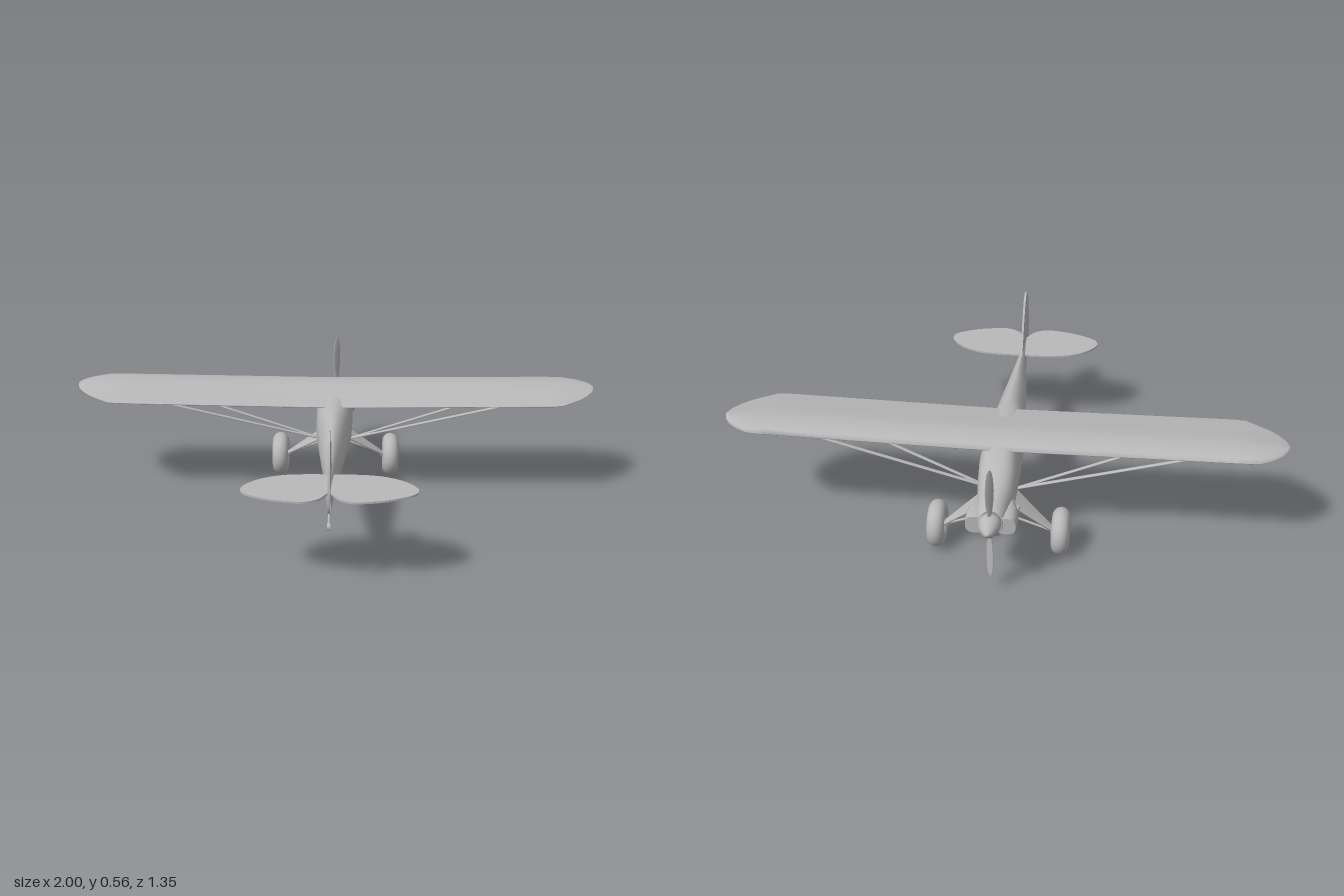
import * as THREE from 'three';

const paint = new THREE.MeshStandardMaterial({ color: 0xb8b8b8 });
paint.name = 'plain grey';

function add(parent, name, geometry) {
  const mesh = new THREE.Mesh(geometry, paint);
  mesh.name = name;
  parent.add(mesh);
  return mesh;
}

// Skin a closed body over equal-length rings of [x, y, z] points; faces always point outward.
function loft(rings) {
  const n = rings[0].length, pos = rings.flat(2), index = [];
  for (let i = 0; i < rings.length - 1; i++) {
    for (let j = 0; j < n; j++) {
      const a = i * n + j, b = i * n + (j + 1) % n;
      index.push(a, b, a + n, b, b + n, a + n);
    }
  }
  [rings[0], rings[rings.length - 1]].forEach((ring, end) => {
    const s = pos.length / 3;
    pos.push(...ring.flat());
    for (let j = 1; j < n - 1; j++) index.push(s, s + (end ? j : j + 1), s + (end ? j + 1 : j));
  });
  const p = (i) => new THREE.Vector3().fromArray(pos, i * 3);
  let volume = 0;
  for (let k = 0; k < index.length; k += 3) {
    volume += p(index[k]).dot(p(index[k + 1]).cross(p(index[k + 2])));
  }
  if (volume < 0) index.reverse();
  const g = new THREE.BufferGeometry();
  g.setAttribute('position', new THREE.Float32BufferAttribute(pos, 3));
  g.setIndex(index);
  g.computeVertexNormals();
  return g;
}

// Rounded-box ring across z: centre x, half width, bottom, top, roundness above and below.
function ring(z, cx, w, y0, y1, nTop = 2.6, nLow = 2.6, count = 28) {
  return Array.from({ length: count }, (_, i) => {
    const a = (i / count) * Math.PI * 2, c = Math.cos(a), s = Math.sin(a);
    const e = 2 / (s > 0 ? nTop : nLow);
    return [cx + w * Math.sign(c) * Math.abs(c) ** e,
      (y0 + y1) / 2 + ((y1 - y0) / 2) * Math.sign(s) * Math.abs(s) ** e, z];
  });
}

// Straight streamlined bar between two points, flattened vertically.
function strut(parent, name, a, b, rz, ry = rz) {
  const circle = (p) => Array.from({ length: 10 }, (_, i) => {
    const t = (i / 10) * Math.PI * 2;
    return [p[0], p[1] + Math.sin(t) * ry, p[2] + Math.cos(t) * rz];
  });
  return add(parent, name, loft([circle(a), circle(b)]));
}

// Thin plate with a smooth outline.
function plate(points, depth) {
  const shape = new THREE.Shape();
  shape.moveTo(...points[0]);
  shape.splineThru(points.slice(1).map((q) => new THREE.Vector2(...q)));
  return new THREE.ExtrudeGeometry(shape, { depth, bevelEnabled: false, curveSegments: 40 });
}

export function createModel() {
  const plane = new THREE.Group();
  plane.name = 'lightAircraft';

  // Fuselage: z, half width, bottom, top, roundness above
  add(plane, 'fuselage', loft([
    [0.63, 0.006, 0.29, 0.345, 2], [0.4, 0.021, 0.265, 0.368, 1.7],
    [0.2, 0.042, 0.241, 0.386, 1.7], [0, 0.06, 0.217, 0.403, 1.9],
    [-0.06, 0.067, 0.21, 0.41, 2.3], [-0.25, 0.07, 0.187, 0.422, 3],
    [-0.35, 0.07, 0.187, 0.42, 3], [-0.4, 0.068, 0.188, 0.384, 2.6],
    [-0.45, 0.064, 0.19, 0.345, 2.4], [-0.54, 0.056, 0.2, 0.336, 2.3],
    [-0.585, 0.05, 0.225, 0.326, 2.2], [-0.6, 0.042, 0.24, 0.317, 2],
  ].map(([z, w, y0, y1, n]) => ring(z, 0, w, y0, y1, n, 2.8))));

  // Engine cowling
  for (const s of [1, -1]) {
    add(plane, 'engineCheek', loft([
      [-0.43, 0.045, 0.02, 0.22, 0.28], [-0.47, 0.046, 0.028, 0.215, 0.292],
      [-0.52, 0.05, 0.038, 0.215, 0.3], [-0.57, 0.05, 0.039, 0.225, 0.302],
      [-0.597, 0.052, 0.034, 0.235, 0.3],
    ].map(([z, x, w, y0, y1]) => ring(z, s * x, w, y0, y1))));
  }
  add(plane, 'chinScoop', loft([
    [-0.452, 0.034, 0.17, 0.24], [-0.51, 0.037, 0.173, 0.245],
    [-0.55, 0.034, 0.188, 0.25], [-0.578, 0.028, 0.212, 0.255], [-0.59, 0.02, 0.23, 0.26],
  ].map(([z, w, y0, y1]) => ring(z, 0, w, y0, y1))));
  add(plane, 'exhaustPipe', new THREE.TubeGeometry(new THREE.CatmullRomCurve3([
    new THREE.Vector3(-0.04, 0.235, -0.47), new THREE.Vector3(-0.068, 0.23, -0.455),
    new THREE.Vector3(-0.078, 0.228, -0.425),
  ]), 10, 0.007, 10));

  // Wing: x, leading z, trailing z, base y, thickness
  const airfoil = [[1, 0.1], [0.8, 0.32], [0.6, 0.68], [0.42, 0.94], [0.28, 1], [0.14, 0.88],
    [0.05, 0.64], [0, 0.36], [0.03, 0.14], [0.12, 0.02], [0.4, 0], [0.75, 0.02], [1, 0]];
  const half = [[0, -0.358, -0.062, 0.398, 0.038], [0.4, -0.358, -0.062, 0.403, 0.037],
    [0.82, -0.358, -0.062, 0.409, 0.035], [0.86, -0.358, -0.068, 0.41, 0.033],
    [0.9, -0.353, -0.098, 0.412, 0.029], [0.94, -0.333, -0.13, 0.415, 0.023],
    [0.97, -0.309, -0.165, 0.418, 0.017], [0.99, -0.282, -0.197, 0.421, 0.011],
    [1, -0.255, -0.23, 0.424, 0.005]];
  const span = [...half.slice(1).reverse().map(([x, ...r]) => [-x, ...r]), ...half];
  add(plane, 'wing', loft(span.map(([x, z0, z1, y, t]) =>
    airfoil.map(([u, v]) => [x, y + v * t, z0 + u * (z1 - z0)]))));

  // Tail fin with rudder
  const fin = plate([[0.38, 0.35], [0.397, 0.367], [0.418, 0.379], [0.447, 0.422], [0.487, 0.487],
    [0.531, 0.542], [0.567, 0.56], [0.596, 0.556], [0.629, 0.531], [0.658, 0.469],
    [0.675, 0.39], [0.674, 0.335], [0.655, 0.305], [0.6, 0.29]], 0.008);
  fin.rotateY(-Math.PI / 2).translate(0.004, 0, 0);
  add(plane, 'tailFin', fin);

  // Tailplane
  for (const s of [1, -1]) {
    const g = plate([[0, 0.442], [0.08, 0.442], [0.165, 0.452], [0.235, 0.482], [0.28, 0.525],
      [0.297, 0.567], [0.275, 0.605], [0.2, 0.642], [0.135, 0.658], [0.08, 0.662],
      [0.035, 0.64], [0.012, 0.605], [0, 0.58]].map(([x, z]) => [s * x, z]), 0.007);
    g.rotateX(Math.PI / 2).translate(0, 0.35, 0);
    add(plane, 'tailplane', g);
  }

  // Tail wheel
  add(plane, 'tailWheelSpring', new THREE.TubeGeometry(new THREE.CatmullRomCurve3([
    new THREE.Vector3(0, 0.295, 0.58), new THREE.Vector3(0, 0.284, 0.625),
    new THREE.Vector3(0, 0.256, 0.65),
  ]), 10, 0.004, 8));
  add(plane, 'tailWheel', new THREE.CylinderGeometry(0.013, 0.013, 0.012, 20)
    .rotateZ(Math.PI / 2).translate(0, 0.255, 0.65));

  // Propeller and spinner
  const prop = new THREE.Group();
  prop.name = 'propeller';
  prop.position.set(0, 0.283, -0.612);
  plane.add(prop);
  const blade = [[0.01, 0.016, 0.014, 1.1], [0.04, 0.02, 0.011, 1], [0.08, 0.036, 0.008, 0.9],
    [0.13, 0.039, 0.006, 0.8], [0.18, 0.031, 0.005, 0.7], [0.207, 0.02, 0.004, 0.65],
    [0.219, 0.006, 0.002, 0.65]].map(([y, chord, thick, pitch]) =>
    Array.from({ length: 14 }, (_, i) => {
      const a = (i / 14) * Math.PI * 2, u = Math.cos(a) * chord / 2, v = Math.sin(a) * thick / 2;
      return [u * Math.cos(pitch) + v * Math.sin(pitch), y,
        -u * Math.sin(pitch) + v * Math.cos(pitch)];
    }));
  for (const turn of [0, Math.PI]) add(prop, 'propellerBlade', loft(blade)).rotation.z = turn;
  const nose = [[0, -0.022], [0.04, -0.022], [0.039, 0], [0.034, 0.022], [0.024, 0.044],
    [0.012, 0.058], [0, 0.064]].map((q) => new THREE.Vector2(...q));
  add(prop, 'spinner', new THREE.LatheGeometry(nose, 32).rotateX(-Math.PI / 2));

  for (const s of [1, -1]) {
    // Wing struts
    const foot = [s * 0.055, 0.193, -0.263];
    strut(plane, 'frontWingStrut', foot, [s * 0.75, 0.412, -0.3], 0.008, 0.004);
    strut(plane, 'rearWingStrut', foot, [s * 0.75, 0.412, -0.13], 0.008, 0.004);
    strut(plane, 'frontJuryStrut', [s * 0.45, 0.317, -0.284], [s * 0.45, 0.407, -0.29], 0.003);
    strut(plane, 'rearJuryStrut', [s * 0.45, 0.317, -0.187], [s * 0.45, 0.407, -0.18], 0.003);

    // Landing gear: covered leg, shock strut and axle
    add(plane, 'gearLeg', loft([
      [[s * 0.045, 0.2, -0.265], [s * 0.045, 0.2, -0.378],
        [s * 0.045, 0.192, -0.378], [s * 0.045, 0.192, -0.265]],
      [[s * 0.195, 0.094, -0.345], [s * 0.195, 0.094, -0.372],
        [s * 0.195, 0.086, -0.372], [s * 0.195, 0.086, -0.345]],
    ]));
    strut(plane, 'shockStrut', [0, 0.16, -0.365], [s * 0.195, 0.088, -0.365], 0.005);
    strut(plane, 'cabaneStrut', [s * 0.04, 0.195, -0.365], [0, 0.158, -0.365], 0.004);
    strut(plane, 'axle', [s * 0.185, 0.087, -0.36], [s * 0.245, 0.087, -0.36], 0.011);

    // Main wheel
    const wheel = new THREE.Group();
    wheel.name = 'mainWheel';
    wheel.position.set(s * 0.223, 0.087, -0.36);
    plane.add(wheel);
    add(wheel, 'tire', new THREE.TorusGeometry(0.054, 0.032, 20, 48).rotateY(Math.PI / 2));
    add(wheel, 'hub', new THREE.CylinderGeometry(0.027, 0.027, 0.026, 24).rotateZ(Math.PI / 2));
    add(wheel, 'hubRim', new THREE.TorusGeometry(0.019, 0.004, 8, 24)
      .rotateY(Math.PI / 2).translate(s * 0.013, 0, 0));
  }
  return plane;
}
